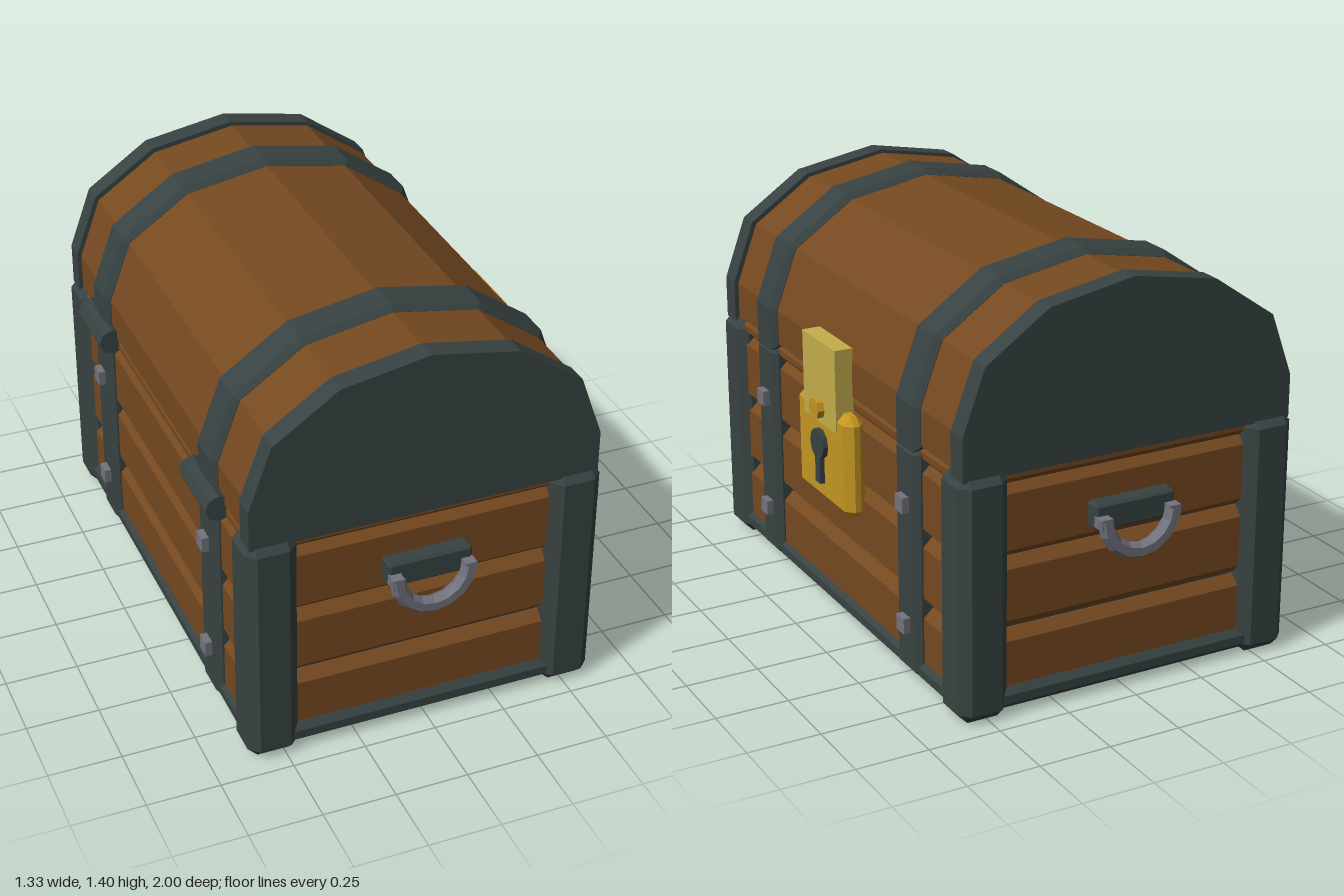
import * as THREE from 'three';
import { ConvexGeometry } from 'three/addons/geometries/ConvexGeometry.js';

const material = (name, color) => {
  const m = new THREE.MeshStandardMaterial({ color, flatShading: true });
  m.name = name;
  return m;
};

// Box between two corners with every edge cut at 45 degrees
function chamferBox(x0, x1, y0, y1, z0, z1, c) {
  const h = [(x1 - x0) / 2, (y1 - y0) / 2, (z1 - z0) / 2];
  const mid = [(x0 + x1) / 2, (y0 + y1) / 2, (z0 + z1) / 2];
  const points = [];
  for (const sx of [-1, 1]) for (const sy of [-1, 1]) for (const sz of [-1, 1]) {
    for (let axis = 0; axis < 3; axis++) {
      const p = [sx, sy, sz].map((s, i) => mid[i] + s * (h[i] - (i === axis ? 0 : c)));
      points.push(new THREE.Vector3(...p));
    }
  }
  return new ConvexGeometry(points);
}

function plainBox(x0, x1, y0, y1, z0, z1) {
  return new THREE.BoxGeometry(x1 - x0, y1 - y0, z1 - z0)
    .translate((x0 + x1) / 2, (y0 + y1) / 2, (z0 + z1) / 2);
}

// Faceted barrel-top slab; inset shrinks the arch, bevel cuts its edges
function archSlab(z0, z1, inset, bottom, bevel) {
  const half = [[0.61, 0.97], [0.53, 1.19], [0.305, 1.345]];
  const outline = [[0.61, bottom], ...half, [0, 1.4],
    ...half.map(([x, y]) => [-x, y]).reverse(), [-0.61, bottom]];
  const kx = 1 - inset / 0.61, ky = 1 - inset / 0.58;
  const shape = new THREE.Shape(outline.map(([x, y]) =>
    new THREE.Vector2(x * kx, bottom + (y - bottom) * ky)));
  return new THREE.ExtrudeGeometry(shape, {
    depth: z1 - z0 - 2 * bevel, bevelEnabled: bevel > 0, bevelSegments: 1,
    bevelSize: bevel, bevelThickness: bevel, bevelOffset: -bevel,
  }).translate(0, 0, z0 + bevel);
}

export function createModel() {
  const wood = material('brown wood', 0x754920);
  const iron = material('dark iron', 0x384242);
  const steel = material('grey steel', 0x72737d);
  const gold = material('gold', 0xc49622);
  const brass = material('pale brass', 0xc5ae4c);

  const model = new THREE.Group();
  model.name = 'treasureChest';
  const chest = new THREE.Group();
  chest.name = 'chest';
  chest.position.x = -0.012;
  model.add(chest);
  const add = (name, geometry, mat, parent = chest) => {
    const mesh = new THREE.Mesh(geometry, mat);
    mesh.name = name;
    parent.add(mesh);
    return mesh;
  };

  // Base tray
  add('base', chamferBox(-0.6, 0.6, 0.02, 0.09, -0.925, 0.925, 0.02), iron);

  // Wall planks, with narrow gaps between the rows
  const rows = [[0.05, 0.277, 0.032], [0.285, 0.525, 0.032], [0.533, 0.772, 0.025], [0.776, 0.842, 0.022]];
  for (const [y0, y1, c] of rows) {
    for (const s of [-1, 1]) {
      const x = s * 0.55, z = s * 0.865;
      add('sidePlank', chamferBox(x - 0.035, x + 0.035, y0, y1, -0.86, 0.86, c), wood);
      add('endPlank', chamferBox(-0.56, 0.56, y0, y1, z - 0.035, z + 0.035, c), wood);
    }
  }

  for (const s of [-1, 1]) {
    // Dark lining behind the end planks
    add('endLining', plainBox(-0.5, 0.5, 0.08, 0.82, s * 0.825 - 0.01, s * 0.825 + 0.01), iron);

    // Corner posts
    for (const t of [-1, 1]) {
      const x = t * 0.525, z = s * 0.855;
      add('cornerPost', chamferBox(x - 0.087, x + 0.087, 0, 0.838, z - 0.085, z + 0.085, 0.034), iron);
    }

    // Straps over the lid and down both walls, with square studs
    const z = s * 0.55;
    add('lidStrap', archSlab(z - 0.075, z + 0.075, 0, 0.815, 0.02), iron);
    for (const t of [-1, 1]) {
      const x = t * 0.56;
      add('wallStrap', chamferBox(x - 0.05, x + 0.05, 0.03, 0.825, z - 0.075, z + 0.075, 0.02), iron);
      for (const y of [0.205, 0.627]) {
        const sx = t * 0.61;
        add('stud', plainBox(sx - 0.024, sx + 0.024, y - 0.027, y + 0.027, z - 0.027, z + 0.027), steel);
      }
    }

    // Hinge barrel on the back wall
    const hinge = add('hinge', new THREE.CylinderGeometry(0.047, 0.047, 0.255, 8), iron);
    hinge.rotation.x = Math.PI / 2;
    hinge.position.set(-0.606, 0.83, z);

    // Lid end plates
    add('lidEndPlate', archSlab(s * 0.88 - 0.038, s * 0.88 + 0.038, 0.012, 0.82, 0), iron);

    // Drop handle and its mount
    const handle = new THREE.Group();
    handle.name = 'handle';
    handle.rotation.y = s > 0 ? 0 : Math.PI;
    chest.add(handle);
    add('handleMount', chamferBox(-0.145, 0.145, 0.58, 0.67, 0.89, 0.955, 0.008), iron, handle);
    const ring = add('handleRing', new THREE.TorusGeometry(0.125, 0.028, 6, 8, Math.PI), steel, handle);
    ring.rotation.z = Math.PI;
    ring.position.set(0, 0.625, 0.974);
    for (const t of [-1, 1]) {
      add('handleEnd', plainBox(t * 0.125 - 0.02, t * 0.125 + 0.02, 0.595, 0.632, 0.94, 0.99), steel, handle);
    }
  }

  // Wooden barrel lid
  add('lid', archSlab(-0.845, 0.845, 0.022, 0.84, 0.016), wood);

  // Lock body, hasp, knob and keyhole
  const lock = new THREE.Group();
  lock.name = 'lock';
  chest.add(lock);
  add('lockBody', chamferBox(0.57, 0.647, 0.43, 0.79, -0.2, 0.2, 0.028), gold, lock);
  add('hasp', plainBox(0.585, 0.65, 0.72, 1.01, -0.127, 0.127), brass, lock);
  const knob = add('knob', new THREE.CylinderGeometry(0.038, 0.038, 0.03, 8), gold, lock);
  knob.rotation.z = Math.PI / 2;
  knob.position.set(0.659, 0.773, 0);
  const hole = add('keyholeRound', new THREE.CylinderGeometry(0.053, 0.053, 0.024, 10), iron, lock);
  hole.rotation.z = Math.PI / 2;
  hole.position.set(0.653, 0.645, 0);
  add('keyholeSlot', plainBox(0.641, 0.664, 0.505, 0.63, -0.019, 0.019), iron, lock);

  return model;
}
